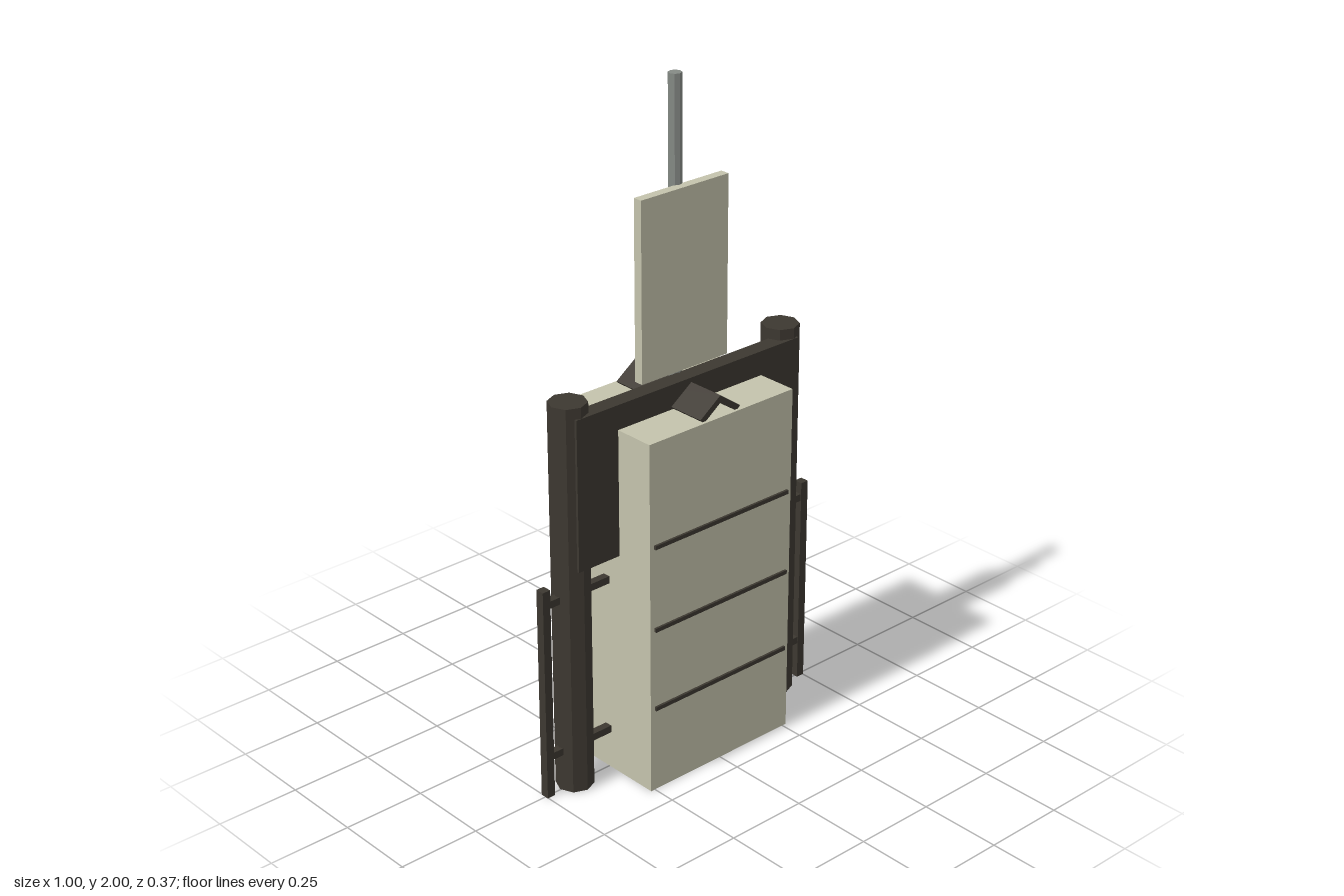
import * as THREE from 'three';

const material = (name, color) => {
  const m = new THREE.MeshStandardMaterial({ color, flatShading: true });
  m.name = name;
  return m;
};

export function createModel() {
  const model = new THREE.Group();
  model.name = 'cabinetStand';
  const cream = material('cream', 0xc4c3ac);
  const dark = material('darkBrown', 0x3d3831);
  const steel = material('steelGrey', 0x858a85);

  const add = (name, geometry, mat, x = 0, y = 0, z = 0) => {
    const mesh = new THREE.Mesh(geometry, mat);
    mesh.name = name;
    mesh.position.set(x, y, z);
    model.add(mesh);
    return mesh;
  };
  // Box given by its lower and upper limits on each axis
  const box = (name, mat, [x0, x1], [y0, y1], [z0, z1]) =>
    add(name, new THREE.BoxGeometry(x1 - x0, y1 - y0, z1 - z0), mat,
      (x0 + x1) / 2, (y0 + y1) / 2, (z0 + z1) / 2);

  // Cabinet with three seams across its front
  box('cabinet', cream, [-0.264, 0.264], [0, 1.08], [-0.188, 0.178]);
  for (const y of [0.265, 0.515, 0.77])
    box('seam', dark, [-0.249, 0.249], [y - 0.006, y + 0.006], [0.177, 0.185]);

  // Panel between the posts
  box('backPanel', dark, [-0.408, 0.408], [0.7, 1.153], [0.003, 0.053]);

  // Folded ridge cap on top of the cabinet
  const cap = new THREE.Shape([
    [-0.073, 1.088], [-0.06, 1.075], [0, 1.118], [0.06, 1.075], [0.073, 1.088], [0, 1.14],
  ].map(([x, y]) => new THREE.Vector2(x, y)));
  add('ridgeCap', new THREE.ExtrudeGeometry(cap, { depth: 0.342, bevelEnabled: false }),
    dark, 0, 0, -0.173);

  // Mast and sign board
  add('mast', new THREE.CylinderGeometry(0.019, 0.019, 0.94, 8), steel, 0, 1.53, -0.012);
  box('signBoard', cream, [-0.156, 0.156], [1.17, 1.695], [0, 0.028]);

  // Posts, side rails and outer bars, mirrored
  for (const s of [-1, 1]) {
    const span = (a, b) => (s > 0 ? [a, b] : [-b, -a]);
    add('post', new THREE.CylinderGeometry(0.055, 0.055, 1.185, 8), dark, s * 0.391, 0.5925, -0.003);
    box('postTrim', dark, span(0.326, 0.332), [0, 0.59], [-0.004, 0.004]);
    for (const y of [0.127, 0.608])
      box('sideRail', dark, span(0.26, 0.49), [y - 0.011, y + 0.011], [-0.014, 0.009]);
    box('outerBar', dark, span(0.476, 0.502), [0, 0.655], [-0.016, 0.011]);
  }
  return model;
}
